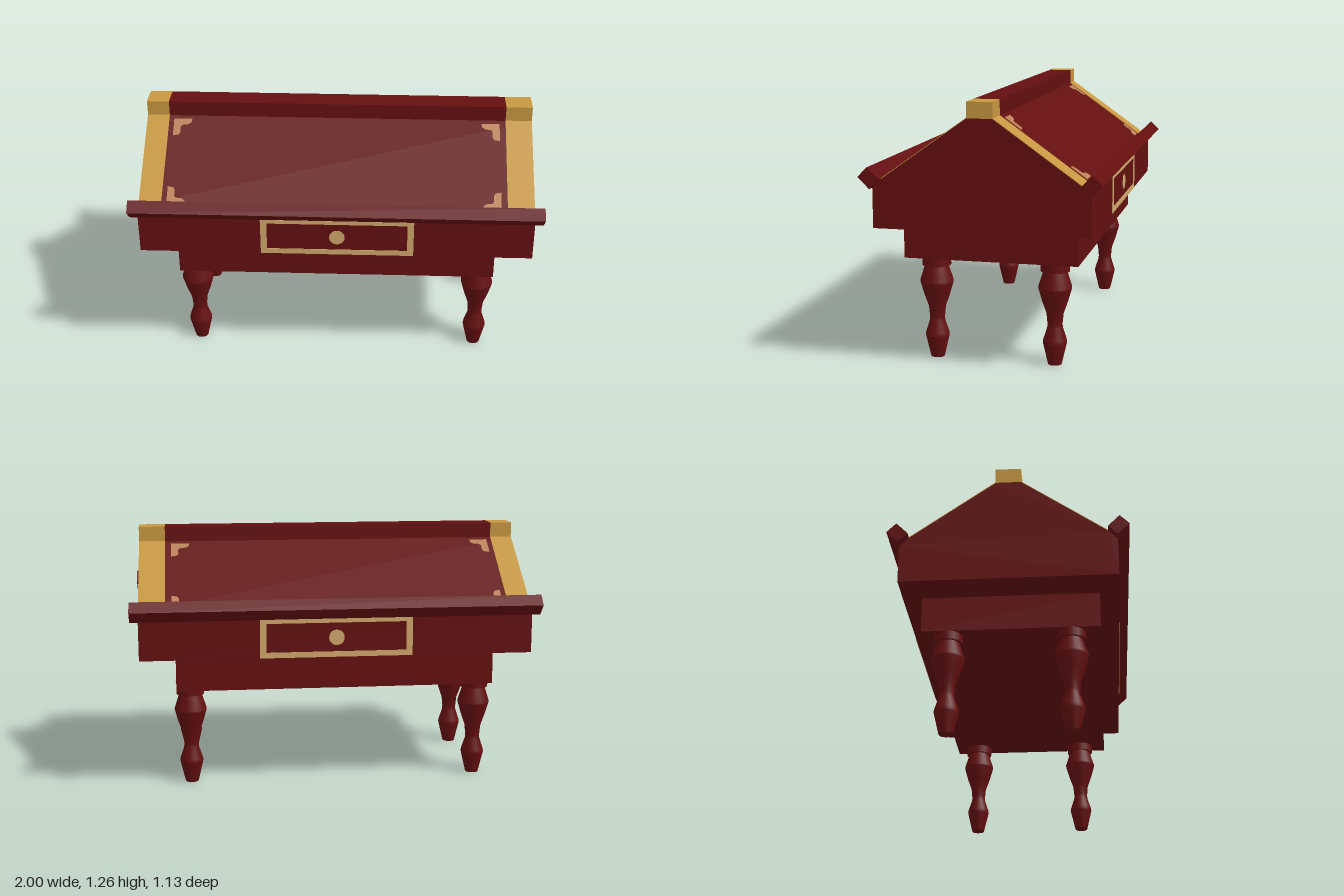
import * as THREE from 'three';

export function createModel() {
  const model = new THREE.Group();
  model.name = 'gabledTable';

  const mat = (name, color) => {
    const m = new THREE.MeshStandardMaterial({ color });
    m.name = name;
    return m;
  };
  const red = mat('darkRedWood', 0x640f10);
  const gold = mat('gold', 0xc69740);
  const pale = mat('paleGold', 0xd0a76b);
  const copper = mat('copper', 0xba8258);

  const add = (name, geometry, material, x = 0, y = 0, z = 0, parent = model) => {
    const mesh = new THREE.Mesh(geometry, material);
    mesh.name = name;
    mesh.position.set(x, y, z);
    parent.add(mesh);
    return mesh;
  };
  // Box given by its x and y limits
  const slab = (name, x0, x1, y0, y1, depth, material, z = 0, parent = model) =>
    add(name, new THREE.BoxGeometry(x1 - x0, y1 - y0, depth), material,
      (x0 + x1) / 2, (y0 + y1) / 2, z, parent);
  const shapeOf = pts => new THREE.Shape(pts.map(p => new THREE.Vector2(...p)));
  const plate = (shape, depth) => new THREE.ExtrudeGeometry(shape, { depth, bevelEnabled: false });

  // Gabled body, extruded along x
  const body = plate(shapeOf([
    [-0.51, 0.67], [0.51, 0.67], [0.51, 0.86], [0.47, 0.9],
    [0.06, 1.19], [-0.06, 1.19], [-0.47, 0.9], [-0.51, 0.86],
  ]), 1.92);
  body.translate(0, 0, -0.96).rotateY(Math.PI / 2);
  add('gabledBody', body, red);

  // Apron under the body
  slab('apron', -0.79, 0.787, 0.495, 0.67, 0.84, red);

  // Ridge beam with gold ends
  slab('ridgeBeam', -0.85, 0.83, 1.19, 1.265, 0.12, red);
  slab('ridgeEndRight', -0.96, -0.85, 1.19, 1.265, 0.122, gold);
  slab('ridgeEndLeft', 0.83, 0.96, 1.19, 1.265, 0.122, gold);

  // Turned legs
  const profile = [
    [0, 0], [0.032, 0], [0.034, 0.006], [0.056, 0.1], [0.058, 0.11], [0.055, 0.125],
    [0.037, 0.18], [0.036, 0.2], [0.041, 0.25], [0.062, 0.31], [0.079, 0.37],
    [0.08, 0.38], [0.056, 0.455],
  ].map(p => new THREE.Vector2(...p));
  const legGeometry = new THREE.LatheGeometry(profile, 24);
  const collarGeometry = new THREE.CylinderGeometry(0.069, 0.069, 0.042, 24);
  for (const x of [-0.724, 0.72]) {
    for (const z of [0.281, -0.298]) {
      const leg = new THREE.Group();
      leg.name = (z > 0 ? 'front' : 'back') + (x > 0 ? 'Left' : 'Right') + 'Leg';
      leg.position.set(x, 0, z);
      add('turnedLeg', legGeometry, red, 0, 0, 0, leg);
      add('legCollar', collarGeometry, red, 0, 0.476, 0, leg);
      model.add(leg);
    }
  }

  // Corner bracket; sx and sy point from its corner towards its arms
  const bracketGeometry = (sx, sy) => plate(shapeOf([
    [0, 0], [0.09, 0], [0.088, 0.02], [0.07, 0.032], [0.045, 0.034], [0.035, 0.045],
    [0.036, 0.075], [0.028, 0.09], [0, 0.095],
  ].map(([x, y]) => [x * sx, y * sy])), 0.003);

  // Lip, drawer and roof trim, made for the front and turned round for the back
  const run = 0.41, rise = 0.29, length = Math.hypot(run, rise);
  for (const s of [1, -1]) {
    const side = new THREE.Group();
    side.name = s > 0 ? 'frontSide' : 'backSide';
    if (s < 0) side.rotation.y = Math.PI;
    model.add(side);

    // Tilted lip at the eave
    const lip = add('eaveLip', new THREE.BoxGeometry(2, 0.078, 0.064), red, 0, 0.909, 0.5155, side);
    lip.rotation.x = Math.PI / 4;

    // Drawer frame and knob
    const cx = 0.0075 * s;
    const frame = shapeOf([[-0.373, 0.671], [0.373, 0.671], [0.373, 0.86], [-0.373, 0.86]]);
    frame.holes.push(new THREE.Path([
      [-0.342, 0.698], [-0.342, 0.84], [0.342, 0.84], [0.342, 0.698],
    ].map(p => new THREE.Vector2(...p))));
    add('drawerFrame', plate(frame, 0.003), pale, cx, 0, 0.51, side);
    const knob = add('drawerKnob', new THREE.CylinderGeometry(0.038, 0.038, 0.004, 20), pale,
      cx, 0.767, 0.511, side);
    knob.rotation.x = Math.PI / 2;

    // Roof slope: local y runs from eave to ridge, local z points outwards
    const slope = new THREE.Group();
    slope.name = 'roofTrim';
    slope.position.set(0, 0.9, 0.47);
    slope.rotation.x = -Math.atan2(run, rise);
    side.add(slope);
    const bands = s > 0 ? [[-0.96, -0.85], [0.83, 0.96]] : [[-0.96, -0.83], [0.85, 0.96]];
    for (const [x0, x1] of bands) slab('roofBand', x0, x1, 0, length, 0.004, gold, 0.001, slope);
    for (const x of [-0.825, 0.8]) {
      for (const [y, sy] of [[0.012, 1], [length - 0.02, -1]]) {
        const sx = -Math.sign(x) * s;
        add('cornerBracket', bracketGeometry(sx, sy), copper, x * s, y, 0, slope);
      }
    }
  }
  return model;
}
